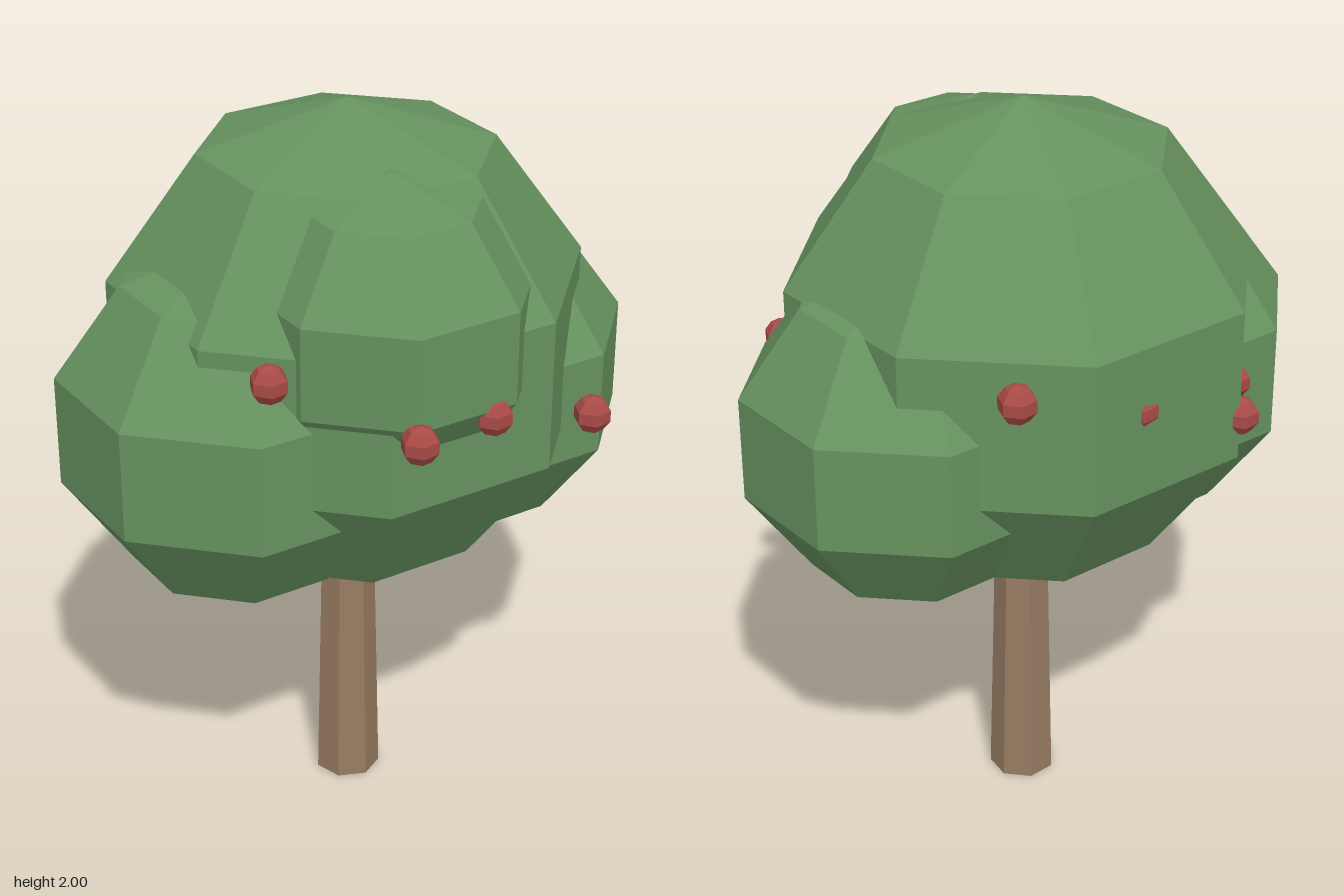
import * as THREE from 'three';

export function createModel() {
  const tree = new THREE.Group();
  tree.name = 'berryTree';

  const material = (name, color) => {
    const m = new THREE.MeshStandardMaterial({ color, flatShading: true });
    m.name = name;
    return m;
  };
  const leafGreen = material('leafGreen', 0x66925f);
  const barkBrown = material('barkBrown', 0x977b62);
  const berryRed = material('berryRed', 0xa94b47);

  const add = (name, geometry, mat, [x, y, z]) => {
    const mesh = new THREE.Mesh(geometry, mat);
    mesh.name = name;
    mesh.position.set(x, y, z);
    tree.add(mesh);
  };

  // Tapered seven-sided trunk, its top hidden inside the crown
  const trunk = new THREE.CylinderGeometry(0.068, 0.09, 1, 7);
  trunk.rotateY(Math.PI);
  add('trunk', trunk, barkBrown, [0, 0.5, -0.015]);

  // Crown of overlapping faceted balls
  const crown = [
    ['crownMain', 0.648, [0, 1.352, -0.015]],
    ['crownRight', 0.479, [-0.31, 1.213, 0.125]],
    ['crownLeft', 0.45, [0.335, 1.19, -0.13]],
    ['crownFront', 0.39, [0.055, 1.52, 0.268]],
  ];
  for (const [name, radius, position] of crown) {
    add(name, new THREE.SphereGeometry(radius, 8, 5), leafGreen, position);
  }

  // Berries scattered over the crown, some half sunk in the leaves
  const berry = new THREE.SphereGeometry(0.05, 6, 5);
  berry.rotateY(Math.PI / 6);
  const spots = [
    [-0.28, 1.5, 0.52],
    [0.055, 1.38, 0.657],
    [0.26, 1.375, 0.535],
    [0.563, 1.255, 0.345],
    [0.2, 1.5, -0.657],
    [-0.445, 1.26, -0.43],
    [-0.14, 1.375, -0.535],
    [-0.5, 1.25, -0.23],
  ];
  spots.forEach((spot, i) => add(`berry${i + 1}`, berry, berryRed, spot));

  return tree;
}
